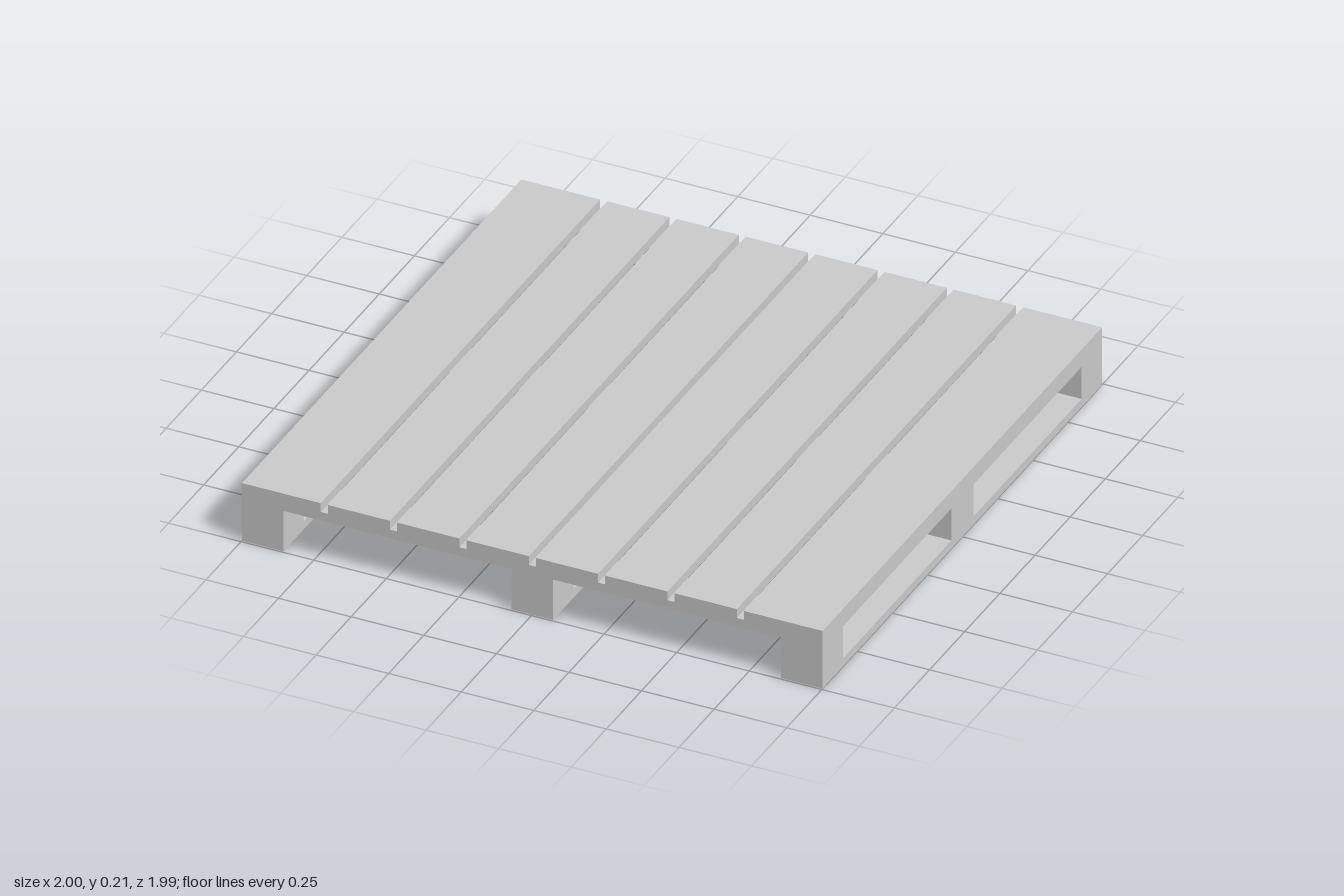
import * as THREE from 'three';

const HALF_Z = 0.994;      // half length of the pallet
const DECK_Y = 0.178;      // underside of the deck boards
const TOP_Y = 0.21;
const RUNNER_W = 0.143;
const material = new THREE.MeshStandardMaterial({ color: 0xcccccc, flatShading: true });

function addBox(parent, name, x0, x1, y0, y1, z0, z1) {
  const mesh = new THREE.Mesh(new THREE.BoxGeometry(x1 - x0, y1 - y0, z1 - z0), material);
  mesh.position.set((x0 + x1) / 2, (y0 + y1) / 2, (z0 + z1) / 2);
  mesh.name = name;
  parent.add(mesh);
}

function rectangle(path, x0, x1, y0, y1) {
  path.moveTo(x0, y0);
  path.lineTo(x1, y0);
  path.lineTo(x1, y1);
  path.lineTo(x0, y1);
  path.closePath();
  return path;
}

// Runner seen from the side: bottom board, three blocks and upper rail around two fork openings
function runnerGeometry() {
  const shape = rectangle(new THREE.Shape(), -HALF_Z, HALF_Z, 0, DECK_Y);
  shape.holes.push(rectangle(new THREE.Path(), -0.848, -0.078, 0.03, 0.147));
  shape.holes.push(rectangle(new THREE.Path(), 0.078, 0.848, 0.03, 0.147));
  const geometry = new THREE.ExtrudeGeometry(shape, { depth: RUNNER_W, bevelEnabled: false });
  geometry.translate(0, 0, -RUNNER_W / 2);
  geometry.rotateY(Math.PI / 2);
  return geometry;
}

export function createModel() {
  const pallet = new THREE.Group();
  pallet.name = 'pallet';

  // Three runners along z
  const runner = runnerGeometry();
  const outerX = 1 - RUNNER_W / 2;
  [['rightRunner', -outerX], ['centreRunner', 0], ['leftRunner', outerX]].forEach(([name, x]) => {
    const mesh = new THREE.Mesh(runner, material);
    mesh.position.x = x;
    mesh.name = name;
    pallet.add(mesh);
  });

  // Cross boards fitted between the runners
  const inner = RUNNER_W / 2, outer = 1 - RUNNER_W;
  [['backCrossBoard', -HALF_Z, -0.848], ['middleCrossBoard', -0.078, 0.078],
    ['frontCrossBoard', 0.848, HALF_Z]].forEach(([name, z0, z1]) => {
    addBox(pallet, name, -outer, -inner, 0.147, DECK_Y, z0, z1);
    addBox(pallet, name, inner, outer, 0.147, DECK_Y, z0, z1);
  });

  // Eight deck boards separated by seven narrow gaps
  const pitch = 0.2388, halfGap = 0.0122;
  for (let i = -4; i < 4; i++) {
    const x0 = i === -4 ? -1 : i * pitch + halfGap;
    const x1 = i === 3 ? 1 : (i + 1) * pitch - halfGap;
    addBox(pallet, 'deckBoard', x0, x1, DECK_Y, TOP_Y, -HALF_Z, HALF_Z);
  }
  return pallet;
}
